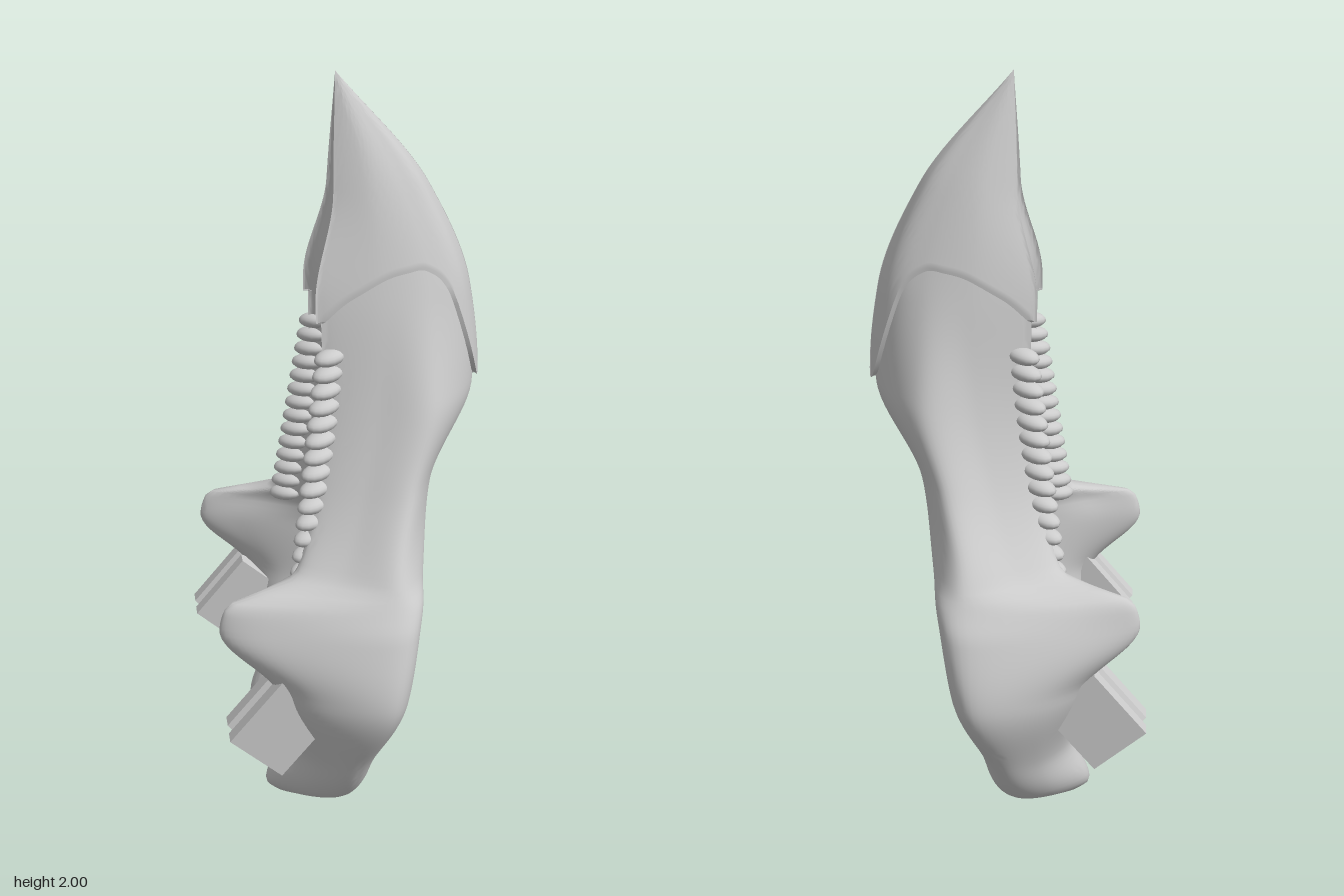
import * as THREE from 'three';
import { toCreasedNormals } from 'three/addons/utils/BufferGeometryUtils.js';

const material = new THREE.MeshStandardMaterial({ color: 0xcccccc });

// Horizontal cross-sections of one jaw half: y, then x,z pairs in the order
// back inner, back outer, outer, outer front, front edge, inner front, inner middle
const ROWS = [
  [.05, 0, .2, .03, .28, -.03, .36, -.13, .34, -.23, .26, -.21, .2, -.09, .19],
  [.2, .02, .2, .065, .34, .01, .46, -.1, .42, -.18, .31, -.17, .22, -.06, .195],
  [.42, .07, .225, .135, .41, .08, .555, -.11, .5, -.22, .39, -.15, .28, -.02, .22],
  [.6, .1, .215, .165, .38, .1, .515, -.23, .435, -.365, .375, -.24, .315, 0, .22],
  [.67, .11, .19, .18, .35, .11, .475, -.22, .41, -.345, .37, -.2, .31, .01, .2],
  [.72, .13, .16, .19, .31, .11, .445, -.05, .38, -.15, .32, -.12, .25, .02, .17],
  [.93, .22, -.04, .235, .16, .16, .32, .03, .275, -.08, .22, -.06, .19, .06, .04],
  [1.16, .35, -.08, .355, .085, .23, .235, .08, .21, -.05, .17, -.03, .15, .1, -.02],
  [1.42, .325, -.07, .325, .08, .23, .15, .1, .16, -.05, .135, -.04, .12, .06, -.02],
  [1.7, .22, -.045, .22, .05, .16, .085, .08, .095, -.005, .07, 0, .06, .04, -.01],
];
// rounded underside of the foot, and the tip where all points meet
ROWS.unshift([.005, -.02, .2, -.01, .23, -.06, .27, -.13, .27, -.2, .23, -.18, .2, -.09, .19]);
ROWS.push([2, ...Array(7).fill([-.005, 0]).flat()]);

// Monotone cubic interpolation of one table column over height
function sample(column, y) {
  const n = ROWS.length - 1;
  const slope = i => (ROWS[i + 1][column] - ROWS[i][column]) / (ROWS[i + 1][0] - ROWS[i][0]);
  const tangent = i => {
    if (i === 0) return slope(0);
    if (i === n) return slope(n - 1);
    const a = slope(i - 1), b = slope(i);
    return a * b <= 0 ? 0 : 2 * a * b / (a + b);
  };
  let i = 0;
  while (i < n - 1 && y > ROWS[i + 1][0]) i++;
  const h = ROWS[i + 1][0] - ROWS[i][0];
  const t = (y - ROWS[i][0]) / h;
  const t2 = t * t, t3 = t2 * t;
  return (2 * t3 - 3 * t2 + 1) * ROWS[i][column] + (t3 - 2 * t2 + t) * h * tangent(i)
    + (3 * t2 - 2 * t3) * ROWS[i + 1][column] + (t3 - t2) * h * tangent(i + 1);
}

// Point on the half's surface at height y and ring parameter u
function surfacePoint(y, u, swell) {
  const points = [];
  const centre = new THREE.Vector3();
  for (let k = 0; k < 7; k++) {
    points.push(new THREE.Vector3(sample(1 + 2 * k, y), y, sample(2 + 2 * k, y)));
    centre.addScaledVector(points[k], 1 / 7);
  }
  const p = new THREE.CatmullRomCurve3(points, true, 'catmullrom', 0.5).getPoint(u);
  p.sub(centre).multiplyScalar(swell).add(centre);
  p.z = Math.max(p.z, 0);
  return p;
}

// Closed loft between two heights; the lower one may vary round the ring
function loft(bottom, top, side, rings, segments, swell) {
  const positions = [], index = [];
  const centre = new THREE.Vector3();
  for (let j = 0; j <= rings; j++) {
    for (let i = 0; i < segments; i++) {
      const u = i / segments;
      const p = surfacePoint(THREE.MathUtils.lerp(bottom(u), top, j / rings), u, swell);
      p.z *= side;
      positions.push(p.x, p.y, p.z);
      if (j === 0) centre.addScaledVector(p, 1 / segments);
    }
  }
  const face = (a, b, c) => (side > 0 ? index.push(a, b, c) : index.push(a, c, b));
  for (let j = 0; j < rings; j++) {
    for (let i = 0; i < segments; i++) {
      const a = j * segments + i, b = j * segments + (i + 1) % segments;
      face(a, a + segments, b);
      face(b, a + segments, b + segments);
    }
  }
  // bottom cap
  const last = positions.length / 3;
  positions.push(centre.x, centre.y, centre.z);
  for (let i = 0; i < segments; i++) face(last, i, (i + 1) % segments);
  const geometry = new THREE.BufferGeometry();
  geometry.setAttribute('position', new THREE.Float32BufferAttribute(positions, 3));
  geometry.setIndex(index);
  return toCreasedNormals(geometry, 0.8);
}

function addMesh(parent, name, geometry) {
  const mesh = new THREE.Mesh(geometry, material);
  mesh.name = name;
  parent.add(mesh);
  return mesh;
}

// Beak's lower rim round the ring: a tongue at the back, an arch at the side
const rimCurve = new THREE.CatmullRomCurve3(
  [1.16, 1.155, 1.2, 1.43, 1.5, 1.5, 1.48, 1.43, 1.37, 1.37, 1.37, 1.37, 1.38, 1.28]
    .map((y, k) => new THREE.Vector3(k, y, 0)), true, 'catmullrom', 0.5);
const rim = u => Math.max(1.155, rimCurve.getPoint(u).y);

// Block with a shallow V groove along its front side
function pegGeometry() {
  const outline = [[-.09, -.065], [.09, -.065], [.09, .065], [-.09, .065], [-.09, .02], [-.06, 0], [-.09, -.02]];
  const shape = new THREE.Shape(outline.map(([x, y]) => new THREE.Vector2(x, y)));
  return new THREE.ExtrudeGeometry(shape, { depth: 0.22, bevelEnabled: false }).rotateX(-Math.PI / 2);
}

export function createModel() {
  const model = new THREE.Group();
  model.name = 'lowerJaw';
  for (const side of [1, -1]) {
    const half = new THREE.Group();
    half.name = side > 0 ? 'frontHalf' : 'backHalf';
    model.add(half);

    addMesh(half, 'jawBone', loft(() => 0.005, 1.52, side, 90, 70, 1));
    addMesh(half, 'beak', loft(rim, 2, side, 36, 84, 1.07));

    // row of ridges along the inner edge
    const ridges = new THREE.Group();
    ridges.name = 'toothRidges';
    half.add(ridges);
    const count = 14;
    for (let i = 0; i < count; i++) {
      const t = i / (count - 1);
      const ridge = addMesh(ridges, 'toothRidge', new THREE.SphereGeometry(1, 14, 10));
      ridge.scale.set(0.05, 0.022, 0.033);
      ridge.position.set(-0.04 - 0.08 * t, 1.275 - 0.565 * t, side * (0.157 + 0.1 * t));
      ridge.rotation.set(0, side * 0.6, 0.1);
    }

    // hinge block below the raised knob
    const peg = addMesh(half, 'hingePeg', pegGeometry());
    peg.position.set(side > 0 ? -0.28 : -0.32, 0.247, side > 0 ? 0.385 : -0.36);
    peg.rotation.z = -0.7;
  }
  return model;
}
